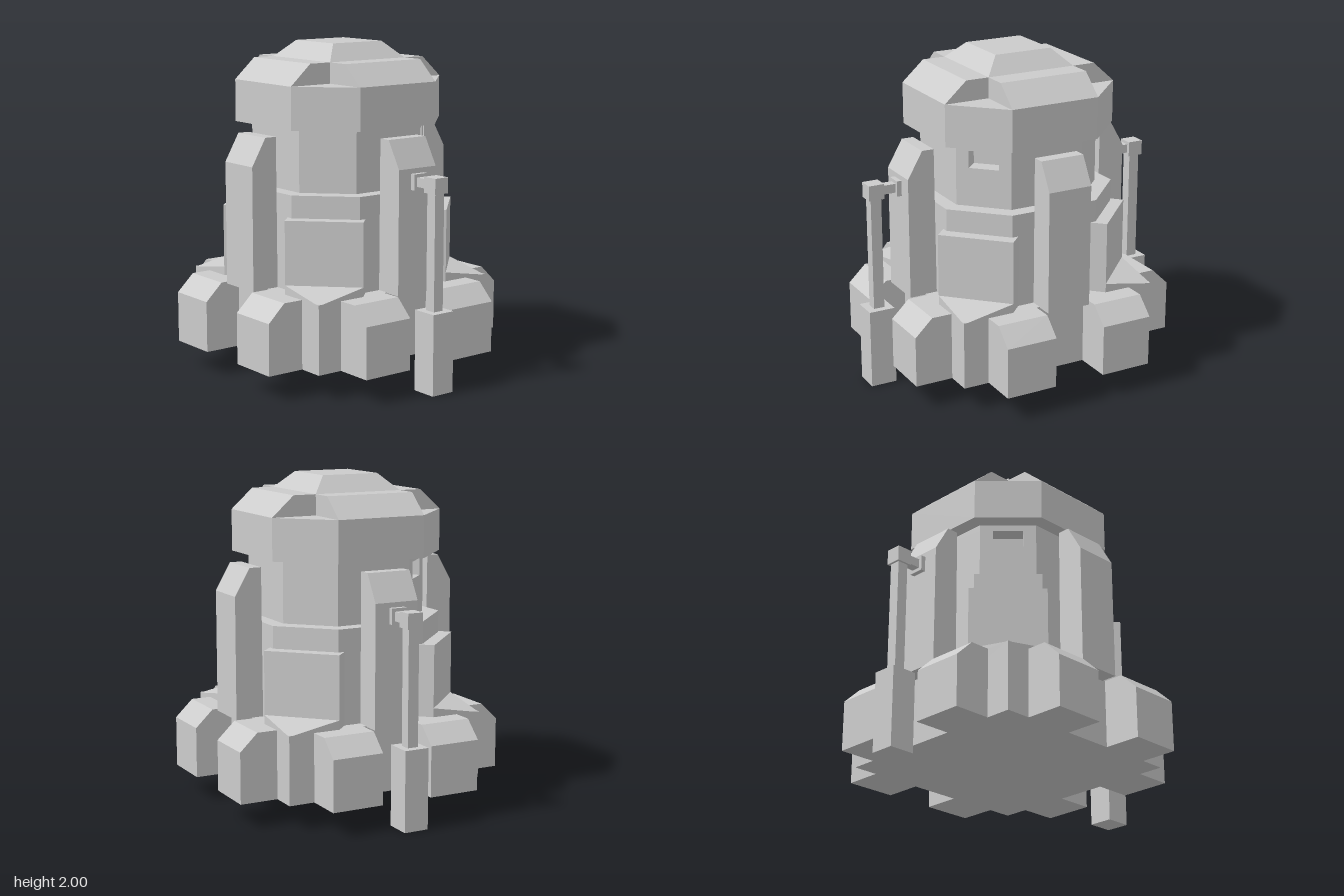
import * as THREE from 'three';
import { ConvexGeometry } from 'three/addons/geometries/ConvexGeometry.js';

const material = new THREE.MeshStandardMaterial({ color: 0xcccccc, flatShading: true });

function add(parent, name, geometry) {
  const mesh = new THREE.Mesh(geometry, material);
  mesh.name = name;
  parent.add(mesh);
  return mesh;
}

// Box given by its limits on each axis
function box(x0, x1, y0, y1, z0, z1) {
  return new THREE.BoxGeometry(x1 - x0, y1 - y0, z1 - z0)
    .translate((x0 + x1) / 2, (y0 + y1) / 2, (z0 + z1) / 2);
}

// Upright prism from a plan outline of [x, z] points
function prism(plan, y0, y1) {
  const shape = new THREE.Shape(plan.map(([x, z]) => new THREE.Vector2(x, -z)));
  return new THREE.ExtrudeGeometry(shape, { depth: y1 - y0, bevelEnabled: false })
    .rotateX(-Math.PI / 2).translate(0, y0, 0);
}

// Side profile of [x, y] points, extruded from z0 to z1
function profile(points, z0, z1) {
  const shape = new THREE.Shape(points.map(([x, y]) => new THREE.Vector2(x, y)));
  return new THREE.ExtrudeGeometry(shape, { depth: z1 - z0, bevelEnabled: false })
    .translate(0, 0, z0);
}

// Octagon plan; notch cuts a window recess into two opposite diagonal faces
function octagon(apothem, half, notch = 0) {
  const points = [];
  const turn = ([x, z], k) => (k ? turn([-z, x], k - 1) : [x, z]);
  for (let k = 0; k < 4; k++) {
    const p = turn([apothem, half], k);
    const q = turn([half, apothem], k + 1 === 4 ? 0 : k + 1);
    const end = turn([apothem, -half], k + 1);
    points.push(turn([apothem, -half], k), p);
    if (notch && k % 2 && q) {
      const at = (t) => [p[0] + (end[0] - p[0]) * t, p[1] + (end[1] - p[1]) * t];
      const mid = at(0.5);
      const len = Math.hypot(...mid);
      const inward = ([x, z]) => [x - mid[0] / len * notch, z - mid[1] / len * notch];
      points.push(at(0.23), inward(at(0.23)), inward(at(0.77)), at(0.77));
    }
  }
  return points;
}

export function createModel() {
  const model = new THREE.Group();
  model.name = 'tower';

  // Base and main drum
  add(model, 'base', box(-0.645, 0.645, 0.15, 0.565, -0.645, 0.645));
  add(model, 'drum', prism(octagon(0.57, 0.285), 0.56, 1.14));

  // Neck in three layers, the middle one with the two windows
  add(model, 'neckLower', prism(octagon(0.48, 0.24), 1.14, 1.375));
  add(model, 'neckWindows', prism(octagon(0.48, 0.24, 0.1), 1.375, 1.48));
  add(model, 'neckUpper', prism(octagon(0.48, 0.24), 1.48, 1.52));

  // Cap: octagonal band, crossed sloping roofs and a raised crown
  add(model, 'capBand', prism(octagon(0.57, 0.285), 1.52, 1.775));
  const roof = [[-0.57, 1.775], [0.57, 1.775], [0.43, 1.9], [-0.43, 1.9]];
  add(model, 'capRoofAcross', profile(roof, -0.285, 0.285));
  add(model, 'capRoofAlong', profile(roof, -0.285, 0.285).rotateY(Math.PI / 2));
  add(model, 'crown', new THREE.CylinderGeometry(0.185 * Math.SQRT2, 0.285 * Math.SQRT2, 0.1, 4)
    .rotateY(Math.PI / 4).translate(0, 1.95, 0));

  // Each of the four sides: a fin, two feet and a corner panel
  const fin = [[0.57, 0.56], [0.745, 0.56], [0.745, 1.305], [0.65, 1.47], [0.575, 1.47]];
  const foot = [[0.6, 0.15], [0.88, 0.15], [0.88, 0.46], [0.77, 0.565], [0.6, 0.565]];
  const panel = [[0.32, 0.645], [0.645, 0.32], [0.545, 0.22], [0.22, 0.545]];
  for (let k = 0; k < 4; k++) {
    const side = new THREE.Group();
    side.name = 'side' + (k + 1);
    side.rotation.y = k * Math.PI / 2;
    add(side, 'fin', profile(fin, -0.14, 0.14));
    add(side, 'footA', profile(foot, 0.162, 0.485));
    add(side, 'footB', profile(foot, -0.485, -0.162));
    add(side, 'cornerPanel', prism(panel, 0.56, 1.005));
    add(side, 'cornerSlope', new ConvexGeometry([
      [0.32, 0.56, 0.645], [0.645, 0.56, 0.32], [0.645, 0.56, 0.645],
      [0.32, 0.62, 0.645], [0.645, 0.62, 0.32],
    ].map((p) => new THREE.Vector3(...p))));
    model.add(side);
  }

  // Masts on the left and right fins
  for (const s of [1, -1]) {
    const mast = new THREE.Group();
    mast.name = s > 0 ? 'leftMast' : 'rightMast';
    mast.rotation.y = s > 0 ? 0 : Math.PI;
    add(mast, 'mastFoot', box(0.825, 0.987, 0, 0.487, -0.077, 0.077));
    add(mast, 'pole', box(0.872, 0.94, 0.487, 1.18, -0.034, 0.034));
    add(mast, 'mastHead', box(0.857, 0.955, 1.18, 1.273, -0.048, 0.048));
    add(mast, 'arm', box(0.77, 0.857, 1.2, 1.255, -0.028, 0.028));
    add(mast, 'bracket', box(0.74, 0.775, 1.18, 1.275, -0.048, 0.048));
    model.add(mast);
  }

  return model;
}
